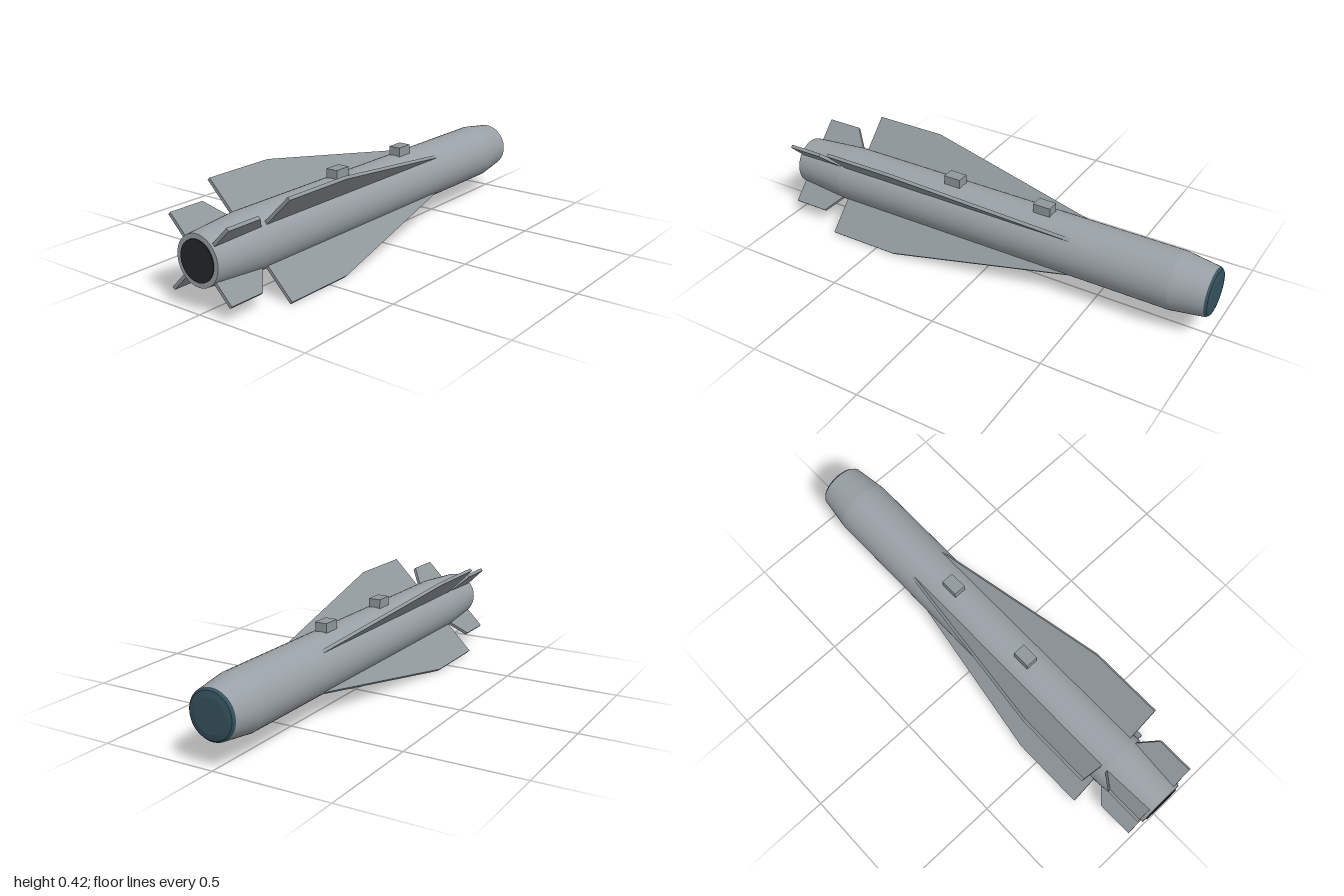
import * as THREE from 'three';

const AXIS_Y = 0.21;
const mat = (color, extra = {}) => new THREE.MeshStandardMaterial({ color, ...extra });
const bodyMat = mat(0x9aa1a6);
const finMat = mat(0x90979b);
const noseMat = mat(0x34515c);
const nozzleMat = mat(0x24282a);

function add(parent, name, geometry, material) {
  const mesh = new THREE.Mesh(geometry, material);
  mesh.name = name;
  parent.add(mesh);
  return mesh;
}

// Surface of revolution about z; points are [radius, z], each band with its own normals
function turned(parent, name, points, material) {
  const group = new THREE.Group();
  group.name = name;
  for (let i = 0; i < points.length - 1; i++) {
    const band = [points[i], points[i + 1]].map(([r, z]) => new THREE.Vector2(r, z));
    const geometry = new THREE.LatheGeometry(band, 48);
    geometry.rotateX(Math.PI / 2);
    add(group, name + 'Section', geometry, material);
  }
  parent.add(group);
}

// Flat plate; outline points are [radius, z], standing upright above the axis
function plate(outline, thickness) {
  const shape = new THREE.Shape(outline.map(([r, z]) => new THREE.Vector2(-z, r)));
  const geometry = new THREE.ExtrudeGeometry(shape, { depth: thickness, bevelEnabled: false });
  geometry.translate(0, 0, -thickness / 2);
  geometry.rotateY(Math.PI / 2);
  return geometry;
}

export function createModel() {
  const model = new THREE.Group();
  model.name = 'finnedTube';
  const hull = new THREE.Group();
  hull.name = 'hull';
  hull.position.y = AXIS_Y;
  model.add(hull);

  // Body with tapered ends
  turned(hull, 'body', [
    [0.103, -0.985], [0.123, -0.84], [0.123, 0.75], [0.103, 0.996], [0, 0.996],
  ], bodyMat);

  // Rounded nose window
  turned(hull, 'noseWindow', [
    [0, -1], [0.07, -1], [0.094, -0.995], [0.103, -0.985],
  ], noseMat);

  // Dark nozzle disc at the tail
  const nozzle = new THREE.CylinderGeometry(0.083, 0.083, 0.02, 48);
  nozzle.rotateX(Math.PI / 2);
  add(hull, 'nozzle', nozzle, nozzleMat).position.z = 0.99;

  // Four long wings and four tail fins, set in an X
  const wing = plate([[0.09, 0.73], [0.287, 0.73], [0.287, 0.405], [0.121, -0.41], [0.09, -0.41]], 0.0145);
  const tailFin = plate([[0.09, 0.985], [0.207, 0.985], [0.207, 0.825], [0.118, 0.755], [0.09, 0.755]], 0.0145);
  for (let i = 0; i < 4; i++) {
    const angle = Math.PI / 4 + (i * Math.PI) / 2;
    add(hull, 'wing', wing, finMat).rotation.z = angle;
    add(hull, 'tailFin', tailFin, finMat).rotation.z = angle;
  }

  // Two mounting lugs on top
  for (const z of [-0.236, 0.2]) {
    add(hull, 'mountingLug', new THREE.BoxGeometry(0.054, 0.055, 0.078), finMat).position.set(0, 0.1325, z);
  }

  return model;
}
